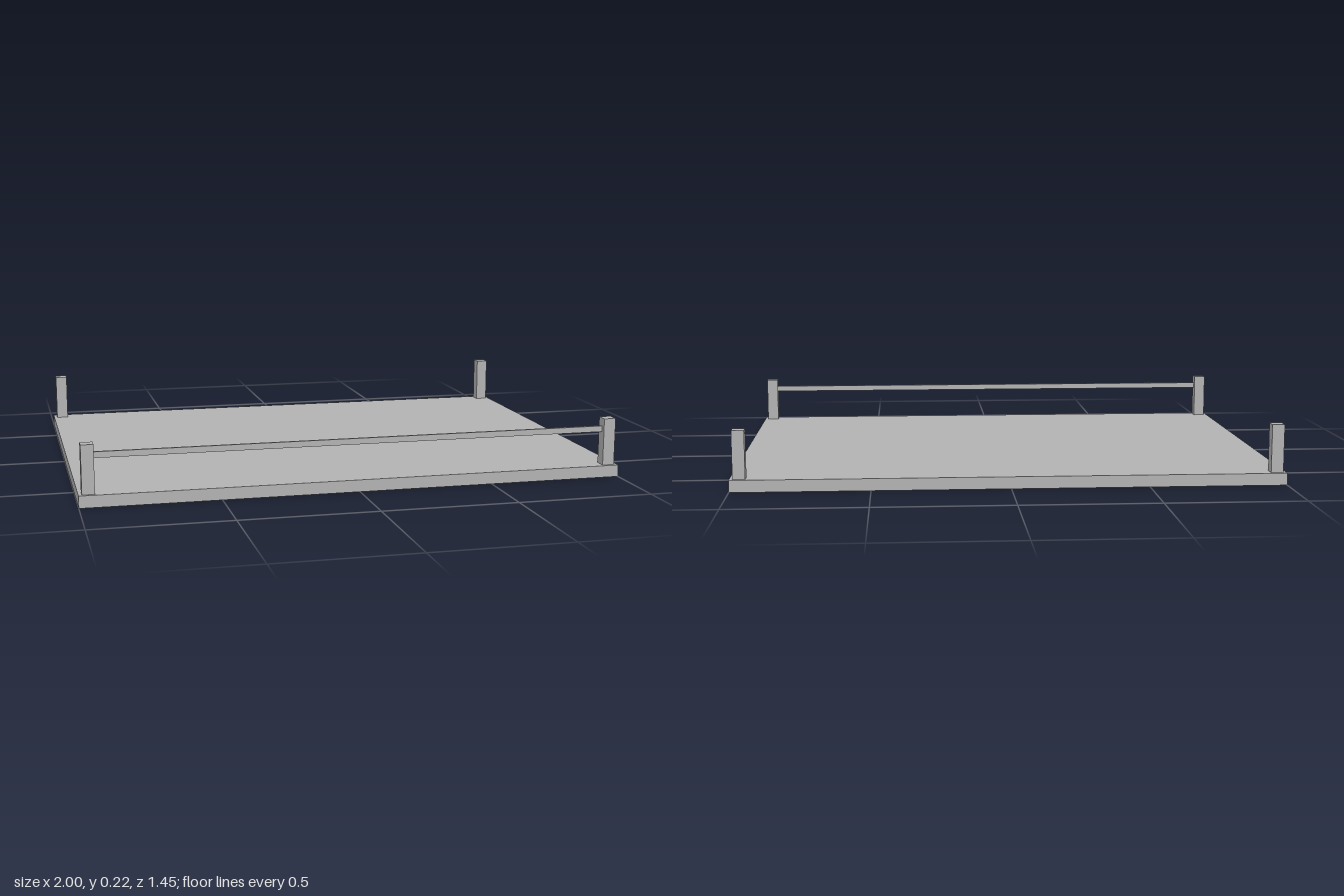
import * as THREE from 'three';

export function createModel() {
  const model = new THREE.Group();
  const grey = new THREE.MeshStandardMaterial({ color: 0xb2b2b2 });
  grey.name = 'plain grey';

  function box(name, size, position) {
    const mesh = new THREE.Mesh(new THREE.BoxGeometry(...size), grey);
    mesh.name = name;
    mesh.position.set(...position);
    model.add(mesh);
  }

  const slabHeight = 0.044, postTop = 0.22, postWidth = 0.045;
  const postX = 0.965, postZ = 0.692;

  // Flat platform
  box('platform', [2, slabHeight, 1.454], [0, slabHeight / 2, 0]);

  // One post near each corner
  const postHeight = postTop - slabHeight;
  for (const sx of [-1, 1]) {
    for (const sz of [-1, 1]) {
      const name = (sz > 0 ? 'front' : 'back') + (sx > 0 ? 'Left' : 'Right') + 'Post';
      box(name, [postWidth, postHeight, postWidth], [sx * postX, slabHeight + postHeight / 2, sz * postZ]);
    }
  }

  // Thin rail between the front posts
  box('frontRail', [2 * postX - postWidth, 0.022, 0.01], [0, 0.179, postZ]);

  return model;
}
